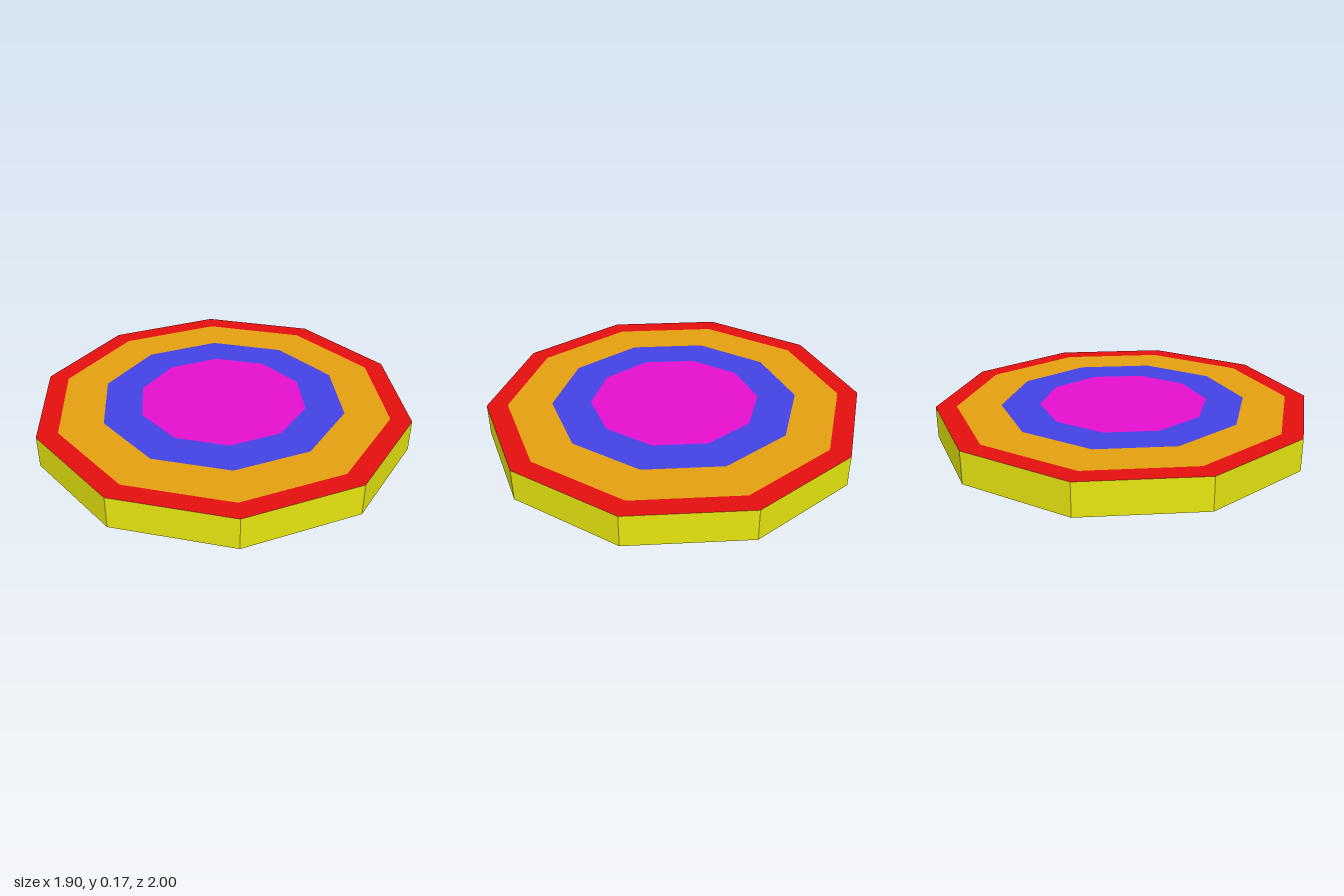
import * as THREE from 'three';

const SIDES = 10;
const HEIGHT = 0.17;

function paint(name, color) {
  const m = new THREE.MeshStandardMaterial({ color, flatShading: true });
  m.name = name;
  return m;
}

export function createModel() {
  const group = new THREE.Group();
  group.name = 'targetDisc';

  const yellow = paint('yellow', 0xe6e610);
  const add = (name, geometry, material) => {
    const mesh = new THREE.Mesh(geometry, material);
    mesh.name = name;
    group.add(mesh);
  };

  // Ten-sided wall, with a corner facing front and back
  const wall = new THREE.CylinderGeometry(1, 1, HEIGHT, SIDES, 1, true);
  add('rimWall', wall.translate(0, HEIGHT / 2, 0), yellow);

  // Underside
  const base = new THREE.CircleGeometry(1, SIDES, Math.PI / 2);
  add('underside', base.rotateX(Math.PI / 2), yellow);

  // Concentric flat bands on the top face: outer and inner radius
  const bands = [
    ['outerBand', 1, 0.89, paint('red', 0xe60f0f)],
    ['middleBand', 0.89, 0.655, paint('orange', 0xe6a010)],
    ['innerBand', 0.655, 0.45, paint('blue', 0x4343e6)],
    ['centre', 0.45, 0, paint('magenta', 0xe60fcf)],
  ];
  for (const [name, outer, inner, material] of bands) {
    const face = inner > 0
      ? new THREE.RingGeometry(inner, outer, SIDES, 1, Math.PI / 2)
      : new THREE.CircleGeometry(outer, SIDES, Math.PI / 2);
    add(name, face.rotateX(-Math.PI / 2).translate(0, HEIGHT, 0), material);
  }

  return group;
}
